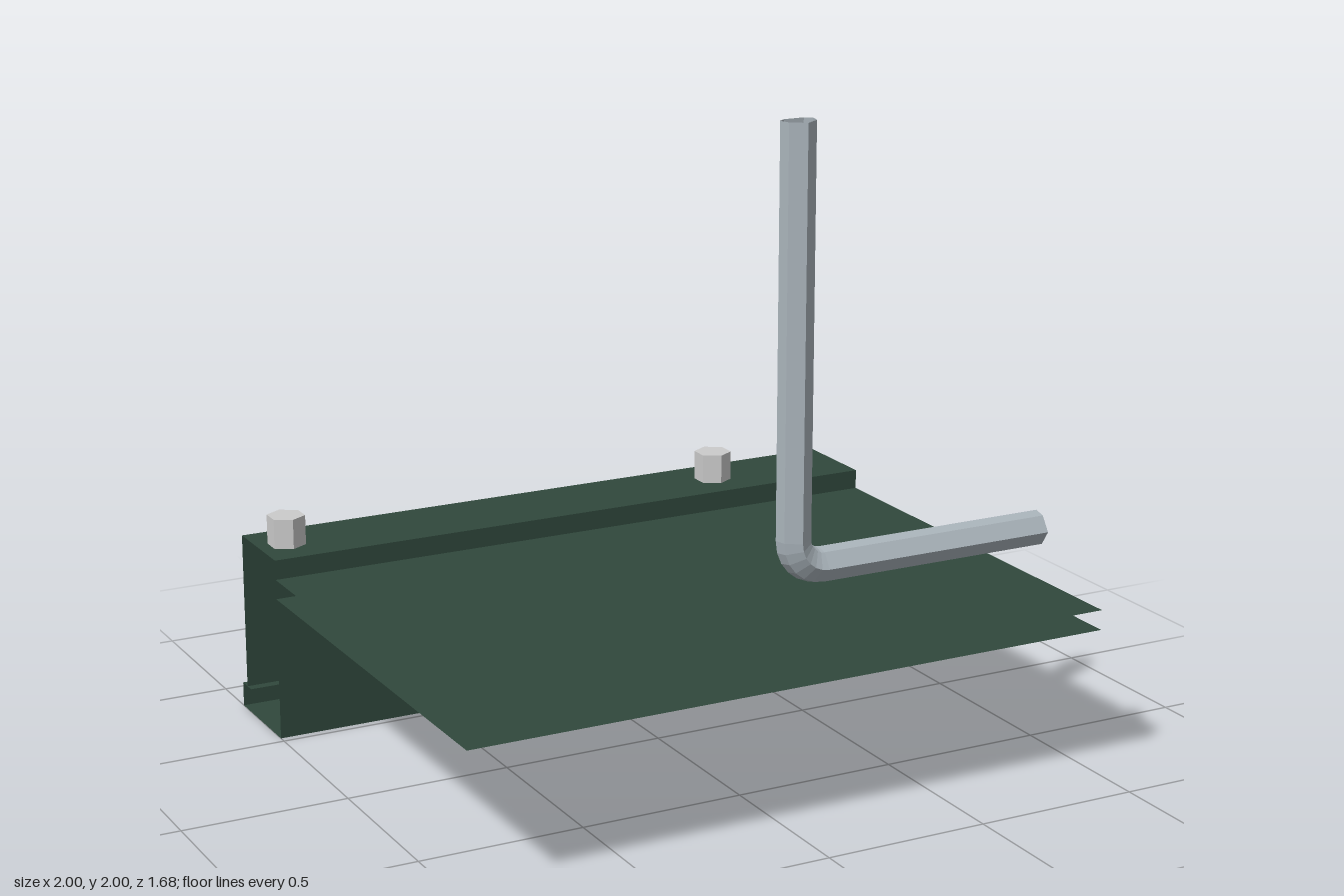
import * as THREE from 'three';

const green = new THREE.MeshStandardMaterial({ color: 0x30483c, side: THREE.DoubleSide, flatShading: true });
const steel = new THREE.MeshStandardMaterial({ color: 0xaab4bb, side: THREE.DoubleSide, flatShading: true });
const grey = new THREE.MeshStandardMaterial({ color: 0xcccccc, flatShading: true });

// Surface through a list of equally long rows of [x, y, z] points
function loft(rows) {
  const n = rows[0].length, index = [];
  for (let r = 0; r < rows.length - 1; r++) {
    for (let i = 0; i < n - 1; i++) {
      const a = r * n + i, b = a + n;
      index.push(a, b, a + 1, a + 1, b, b + 1);
    }
  }
  const g = new THREE.BufferGeometry();
  g.setAttribute('position', new THREE.Float32BufferAttribute(rows.flat(2), 3));
  g.setIndex(index);
  const flat = g.toNonIndexed();
  flat.computeVertexNormals();
  return flat;
}

function addMesh(group, name, geometry, material) {
  const mesh = new THREE.Mesh(geometry, material);
  mesh.name = name;
  group.add(mesh);
  return mesh;
}

// Thin folded sheet: a [z, y] profile drawn out over the full width
function sheet(profile) {
  return loft([-1, 1].map((x) => profile.map(([z, y]) => [x, y, z])));
}

// Faceted bar bent in the xy plane from the upright shaft into the short arm
function bentBar() {
  const section = [[0, 0.038], [0.042, 0.01], [0.05, -0.023], [0.03, -0.038],
    [-0.03, -0.038], [-0.05, -0.023], [-0.042, 0.01], [0, 0.038]];
  const R = 0.085, axisY = 0.765, steps = 6;
  // Each station: centre x, centre y, and angle of the sideways direction
  const stations = [[0, 2, 0]];
  for (let i = 0; i <= steps; i++) {
    const a = (i / steps) * Math.PI / 2;
    stations.push([R - R * Math.cos(a), axisY + R - R * Math.sin(a), a]);
  }
  stations.push([0.8, axisY, Math.PI / 2]);
  return loft(stations.map(([x, y, a]) =>
    section.map(([s, t]) => [x + s * Math.cos(a), y + s * Math.sin(a), 0.8 + t])));
}

export function createModel() {
  const model = new THREE.Group();
  model.name = 'clampedPanel';

  // Channel: hooked lip, floor, front wall, top, back wall
  addMesh(model, 'channel', sheet([
    [-0.77, 0.03], [-0.77, 0.075], [-0.838, 0.075], [-0.838, 0],
    [-0.525, 0], [-0.525, 0.56], [-0.8, 0.56], [-0.8, 0.075],
  ]), green);

  // Two parallel panel skins reaching forward from the channel
  addMesh(model, 'upperPanel', sheet([[-0.525, 0.5], [0.835, 0.5]]), green);
  addMesh(model, 'lowerPanel', sheet([[-0.525, 0.44], [0.835, 0.44]]), green);

  // Hexagonal bolt heads on the channel top
  for (const x of [-0.91, 0.545]) {
    addMesh(model, 'boltHead', new THREE.CylinderGeometry(0.058, 0.058, 0.098, 6), grey)
      .position.set(x, 0.602, -0.66);
  }

  // L-shaped key floating above the front edge
  addMesh(model, 'hexKey', bentBar(), steel);
  return model;
}
